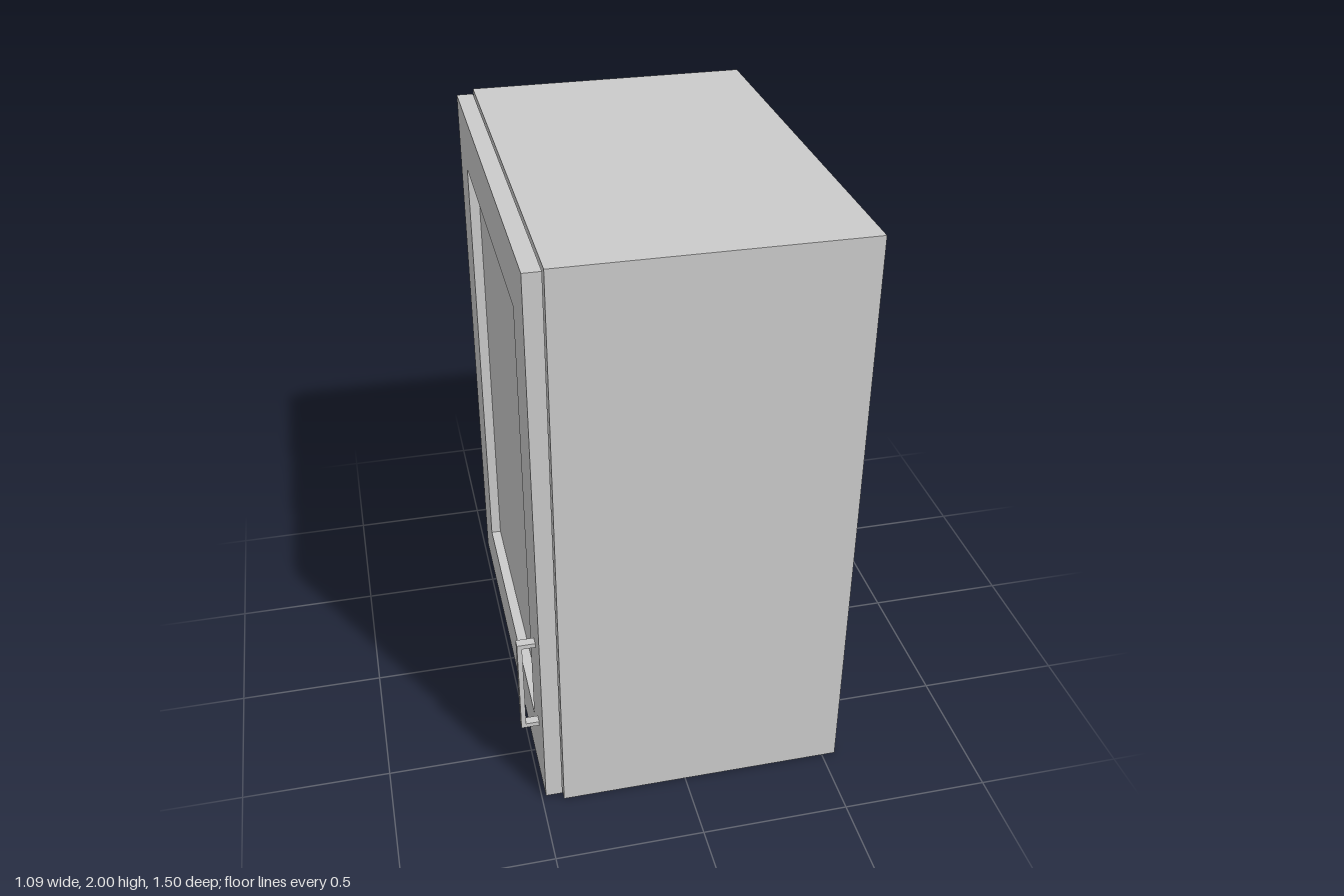
import * as THREE from 'three';

const material = new THREE.MeshStandardMaterial({ color: 0xcccccc });

// Box given by its min and max corners
function box(name, [x0, y0, z0], [x1, y1, z1]) {
  const geometry = new THREE.BoxGeometry(x1 - x0, y1 - y0, z1 - z0);
  const mesh = new THREE.Mesh(geometry, material);
  mesh.position.set((x0 + x1) / 2, (y0 + y1) / 2, (z0 + z1) / 2);
  mesh.name = name;
  return mesh;
}

// Rectangle outline for shapes and holes
function rectangle(path, halfW, y0, y1) {
  path.moveTo(-halfW, y0);
  path.lineTo(halfW, y0);
  path.lineTo(halfW, y1);
  path.lineTo(-halfW, y1);
  path.closePath();
  return path;
}

export function createModel() {
  const model = new THREE.Group();
  model.name = 'wallCabinet';

  // Cabinet body
  model.add(box('cabinetBody', [-0.427, 0, -0.75], [0.547, 2, 0.75]));

  // Door on the -x side: a frame with a recessed panel
  const door = new THREE.Group();
  door.name = 'door';
  const outer = 0.735, bottom = 0.013, top = 1.987, rail = 0.2;
  const doorFront = -0.487, doorBack = -0.43;
  const shape = rectangle(new THREE.Shape(), outer, bottom, top);
  shape.holes.push(rectangle(new THREE.Path(), outer - rail, bottom + rail, top - rail));
  const frameGeometry = new THREE.ExtrudeGeometry(shape, {
    depth: doorBack - doorFront, bevelEnabled: false,
  });
  frameGeometry.rotateY(Math.PI / 2);
  const frame = new THREE.Mesh(frameGeometry, material);
  frame.position.x = doorFront;
  frame.name = 'doorFrame';
  door.add(frame);
  door.add(box('doorPanel',
    [doorFront + 0.035, bottom + rail, -outer + rail],
    [doorBack, top - rail, outer - rail]));
  model.add(door);

  // Bar handle near the lower corner of the door
  const handle = new THREE.Group();
  handle.name = 'handle';
  const z0 = 0.62, z1 = 0.65, bar = 0.016, low = 0.26, high = 0.62, grip = -0.547;
  handle.add(box('handleGrip', [grip, low, z0], [grip + bar, high, z1]));
  for (const y of [low, high - bar]) {
    handle.add(box('handlePost', [grip + bar, y, z0], [doorFront, y + bar, z1]));
  }
  model.add(handle);

  return model;
}
